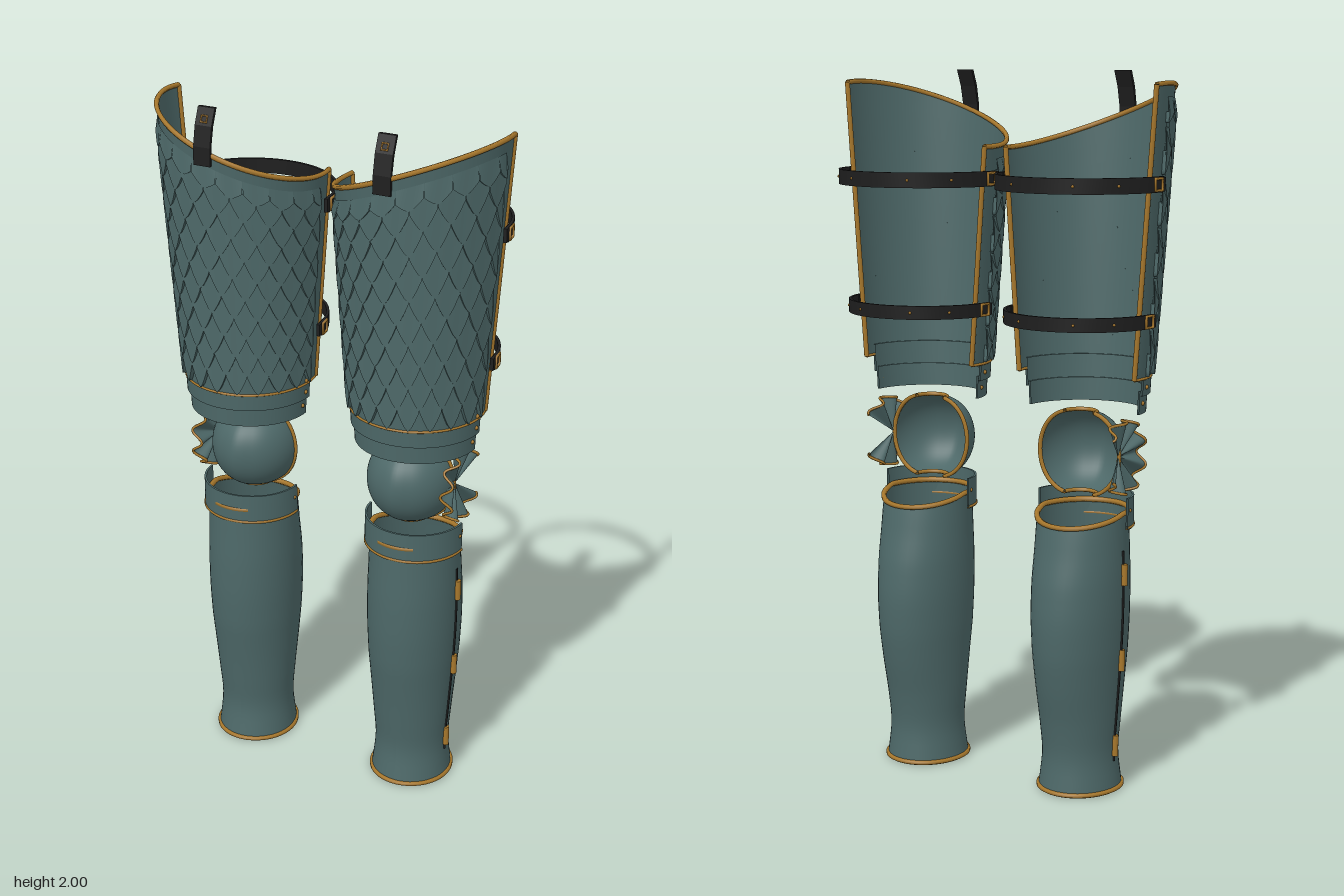
import * as THREE from 'three';
import { mergeGeometries, toCreasedNormals } from 'three/addons/utils/BufferGeometryUtils.js';

const mat = (name, color) => {
  const m = new THREE.MeshStandardMaterial({ color, side: THREE.DoubleSide });
  m.name = name;
  return m;
};
const V = (x, y, z) => new THREE.Vector3(x, y, z);

// point on an upright circle; angle 0 faces the front, +90 degrees the outer side
const polar = (r, a, y) => V(r * Math.sin(a), y, r * Math.cos(a));

// smooth surface from a rule f(u, v), u and v in 0..1
function grid(f, nu, nv) {
  const pos = [], idx = [];
  for (let j = 0; j <= nv; j++) for (let i = 0; i <= nu; i++) pos.push(...f(i / nu, j / nv).toArray());
  for (let j = 0; j < nv; j++) for (let i = 0; i < nu; i++) {
    const a = j * (nu + 1) + i, b = a + nu + 1;
    idx.push(a, a + 1, b, a + 1, b + 1, b);
  }
  const g = new THREE.BufferGeometry();
  g.setAttribute('position', new THREE.Float32BufferAttribute(pos, 3));
  g.setIndex(idx);
  g.computeVertexNormals();
  return g;
}

// round trim along a rule f(t)
function trim(f, n, r, closed = false) {
  const pts = [];
  for (let i = 0; i < (closed ? n : n + 1); i++) pts.push(f(i / n));
  return new THREE.TubeGeometry(new THREE.CatmullRomCurve3(pts, closed), n * 2, r, 6, closed);
}

// curved strip with a flat cross-section
function arcBand(r0, r1, y0, y1, a0, a1, lean = 0) {
  const p = [[r0, y0], [r1, y0], [r1 + lean, y1], [r0 + lean, y1], [r0, y0]].map(([x, y]) => new THREE.Vector2(x, y));
  return toCreasedNormals(new THREE.LatheGeometry(p, 40, a0, a1 - a0), 0.6);
}

// thigh plate rules
const BASE = 1.18;
const thighR = y => 0.186 + 0.056 * (y - BASE) / 0.79;
const thighEnd = y => Math.PI / 2 + Math.asin(0.042 / thighR(y));
const thighTop = a => 1.88 + 0.0875 * Math.sin(a) + 0.006 * Math.cos(a);
function thighPoint(u, v) {
  const s = u * 2 - 1;
  let a = s * 1.76;
  const y = BASE + (thighTop(a) - BASE) * v;
  a = s * thighEnd(y);
  return polar(thighR(y), a, y);
}

// one pointed scale hung on the thigh, with a raised lower edge
function scaleGeo(a, step, top, tip) {
  const limit = 1.5;
  const at = (u, v, lift) => {
    const ang = THREE.MathUtils.clamp(a + (u - 0.5) * step, -limit, limit);
    const low = tip + (top - tip) * 0.42 * Math.pow(Math.abs(2 * u - 1), 1.4);
    const f = top + (low - top) * v;
    const y = 1.185 + (thighTop(ang) - 0.035 - 1.185) * f;
    return polar(thighR(y) + lift, ang, y);
  };
  return [
    grid((u, v) => at(u, v, 0.002 + 0.009 * v), 6, 1),
    grid((u, v) => at(u, 1, 0.011 * (1 - v)), 6, 1),
  ];
}

// greave sections: half width, front depth, back depth, evenly spaced in height
const greaveCurve = new THREE.CatmullRomCurve3([
  [0.115, 0.12, 0.13], [0.106, 0.105, 0.12], [0.112, 0.115, 0.133], [0.119, 0.128, 0.155],
  [0.126, 0.142, 0.171], [0.13, 0.148, 0.175], [0.131, 0.148, 0.166], [0.129, 0.143, 0.145],
  [0.126, 0.138, 0.128],
].map(p => V(...p)));
function greavePoint(a, t) {
  const s = greaveCurve.getPoint(t), c = Math.cos(a);
  return V(s.x * Math.sin(a), 0.01 + 0.79 * t - 0.03 * Math.pow(t, 8) * Math.max(0, -c), c * (c > 0 ? s.y : s.z));
}

// knee dome, open behind with a scoop above and below
function kneePoint(a, p) {
  const s = Math.pow(Math.sin(p), 0.8);
  const ridge = 1 + 0.05 * Math.max(0, 1 - Math.abs(a) / 0.35) * s;
  return V(-0.012 + 0.126 * s * Math.sin(a), 0.958 + 0.12 * Math.cos(p), 0.134 * s * Math.cos(a) * ridge);
}

// fluted side fan with a wedge cut out at the back
function fanPoint(u, r) {
  const a = Math.PI + (u - 0.5) * 2 * (Math.PI - 0.6);
  const out = 0.114 + (r / 0.1) * (0.018 + 0.017 * Math.cos(9 * a));
  return V(out, 0.96 + r * Math.sin(a), -0.005 - r * Math.cos(a));
}

function buildLeg(M) {
  const leg = new THREE.Group();
  const add = (name, geo, m) => {
    const mesh = new THREE.Mesh(geo, m);
    mesh.name = name;
    leg.add(mesh);
    return mesh;
  };
  const H = Math.PI / 2;

  // thigh plate and its gold edges
  add('thighPlate', grid(thighPoint, 48, 12), M.steel);
  add('thighTopTrim', trim(t => thighPoint(t, 1), 32, 0.007), M.gold);
  add('thighBottomTrim', trim(t => thighPoint(t, 0), 32, 0.004), M.gold);
  for (const e of [0, 1]) add('thighSideTrim', trim(t => thighPoint(e, t), 10, 0.007), M.gold);

  // staggered scales
  const scales = [], rows = 11, step = 0.3;
  for (let r = 0; r < rows; r++) {
    const tip = r / rows, top = Math.min(1, tip + 0.2), half = r % 2;
    for (let c = -5; c <= 5 - half; c++) {
      const a = (c + half * 0.5) * step;
      if (Math.abs(a) < 1.6) scales.push(...scaleGeo(a, step * 0.98, top, tip));
    }
  }
  add('thighScales', mergeGeometries(scales), M.steel);

  // lower thigh bands with rivets
  add('lowerThighBand', arcBand(0.168, 0.173, 1.08, 1.145, -H, H, 0.003), M.steel);
  add('upperThighBand', arcBand(0.178, 0.184, 1.132, 1.21, -H, H, 0.004), M.steel);
  for (const s of [-1, 1]) for (const [y, r] of [[1.11, 0.175], [1.155, 0.186], [1.19, 0.188]]) {
    add('bandRivet', new THREE.SphereGeometry(0.006, 8, 6), M.gold).position.copy(polar(r, s * 1.45, y));
  }

  // back straps with buckles and studs
  for (const [y, r, h] of [[1.705, 0.236, 0.042], [1.34, 0.212, 0.038]]) {
    add('backStrap', arcBand(r, r + 0.008, y - h / 2, y + h / 2, 1.6, 2 * Math.PI - 1.6), M.leather);
    for (const s of [-1, 1]) {
      const buckle = add('buckle', new THREE.TorusGeometry(0.022, 0.005, 6, 4, Math.PI * 2).rotateZ(Math.PI / 4), M.gold);
      buckle.position.copy(polar(r + 0.008, s * 1.7, y));
      buckle.rotation.y = s * 1.7;
      const pad = add('bucklePad', new THREE.BoxGeometry(0.05, h * 0.9, 0.01), M.leather);
      pad.position.copy(polar(r + 0.002, s * 1.66, y));
      pad.rotation.y = s * 1.66;
      for (const a of [2.25, 2.75]) {
        add('strapStud', new THREE.SphereGeometry(0.004, 8, 6), M.gold).position.copy(polar(r + 0.008, s * a, y));
      }
    }
  }

  // hanging tab at the top front
  const tab = new THREE.Shape([[0.237, 1.85], [0.245, 1.85], [0.243, 1.9], [0.232, 1.955], [0.213, 2],
    [0.203, 2], [0.223, 1.953], [0.235, 1.9]].map(([x, y]) => new THREE.Vector2(x, y)));
  add('topTab', new THREE.ExtrudeGeometry(tab, { depth: 0.05, bevelEnabled: false })
    .rotateY(-H).translate(0.025, 0, 0), M.leather);
  const ring = add('tabBuckle', new THREE.TorusGeometry(0.012, 0.003, 6, 4).rotateZ(Math.PI / 4), M.gold);
  ring.position.set(0, 1.972, 0.227);
  ring.rotation.x = -0.4;

  // knee dome with a gold rim all round its opening
  const P0 = 0.3, P1 = Math.PI - 0.3;
  add('kneeDome', grid((u, v) => kneePoint((u * 2 - 1) * H, P1 + (P0 - P1) * v), 36, 24), M.steel);
  for (const s of [-1, 1]) add('kneeSideTrim', trim(t => kneePoint(s * H, P0 + (P1 - P0) * t), 16, 0.006), M.gold);
  for (const p of [P0, P1]) add('kneeScoopTrim', trim(t => kneePoint((t * 2 - 1) * H, p), 12, 0.006), M.gold);

  // fluted fan on the outer side of the knee
  add('kneeFan', grid((u, v) => fanPoint(u, 0.004 + 0.096 * v), 96, 6), M.steel);
  add('kneeFanTrim', trim(t => fanPoint(t, 0.1), 72, 0.004), M.gold);

  // band under the knee
  add('kneeBand', arcBand(0.137, 0.143, 0.757, 0.845, -H, H), M.steel);
  add('kneeBandTrim', trim(t => polar(0.141, (t * 2 - 1) * H, 0.762), 24, 0.005), M.gold);
  for (const s of [-1, 1]) {
    add('kneeBandRivet', new THREE.SphereGeometry(0.005, 8, 6), M.gold).position.copy(polar(0.143, s * 1.47, 0.81));
  }

  // greave with rims, seam and hinges
  add('greave', grid((u, v) => greavePoint(u * 2 * Math.PI, v), 48, 32), M.steel);
  add('greaveTopRim', trim(t => greavePoint(t * 2 * Math.PI, 1), 32, 0.008, true), M.gold);
  add('greaveBottomRim', trim(t => greavePoint(t * 2 * Math.PI, 0), 32, 0.007, true), M.gold);
  add('greaveSeam', trim(t => greavePoint(H, 0.1 + 0.77 * t), 16, 0.004), M.leather);
  for (const y of [0.63, 0.385, 0.135]) {
    const p = greavePoint(H, (y - 0.01) / 0.79);
    add('greaveHinge', new THREE.CylinderGeometry(0.009, 0.009, 0.06, 10), M.gold).position.set(p.x + 0.004, y, p.z);
  }
  return leg;
}

export function createModel() {
  const M = {
    steel: mat('blue green steel', 0x4d6868),
    gold: mat('dull gold', 0xa8782c),
    leather: mat('black leather', 0x1e1e1e),
  };
  const model = new THREE.Group();
  model.name = 'legArmour';
  const left = buildLeg(M), right = buildLeg(M);
  left.name = 'leftLeg';
  left.position.x = 0.26;
  right.name = 'rightLeg';
  right.position.x = -0.26;
  right.scale.x = -1;
  model.add(left, right);
  return model;
}
